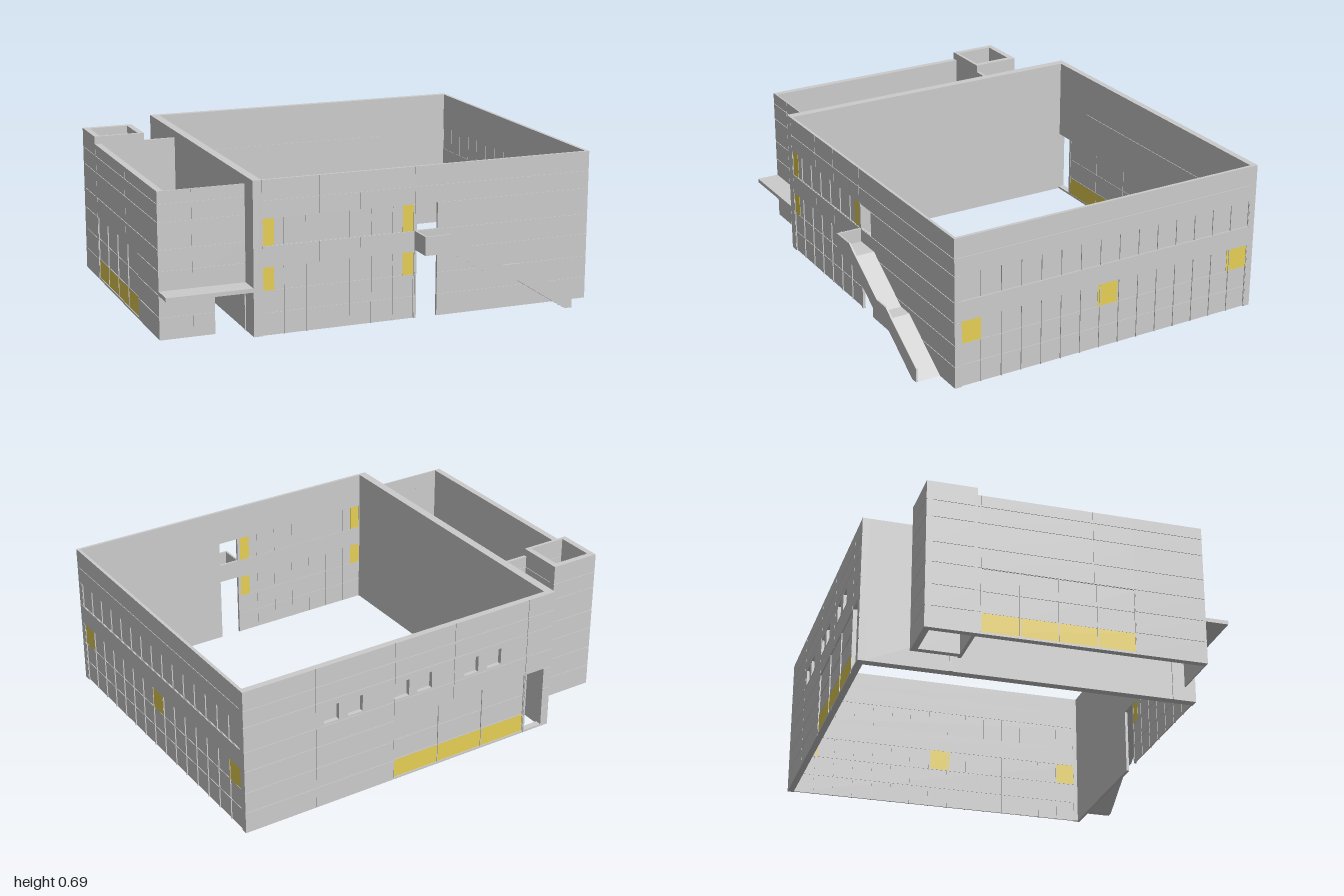
import * as THREE from 'three';
import { mergeGeometries } from 'three/addons/utils/BufferGeometryUtils.js';

const grey = new THREE.MeshStandardMaterial({ color: 0xcccccc });
const yellow = new THREE.MeshStandardMaterial({ color: 0xe6cf55 });
const ROWS = [0.1, 0.2, 0.305, 0.4, 0.52, 0.6];
const GAP = 0.0015, SKIN = 0.003;

// box geometry from its min and max corners
function span(x0, x1, y0, y1, z0, z1) {
  return new THREE.BoxGeometry(x1 - x0, y1 - y0, z1 - z0)
    .translate((x0 + x1) / 2, (y0 + y1) / 2, (z0 + z1) / 2);
}

function add(parent, name, geos, material = grey) {
  const mesh = new THREE.Mesh(Array.isArray(geos) ? mergeGeometries(geos) : geos, material);
  mesh.name = name;
  parent.add(mesh);
  return mesh;
}

// Wall in local space: u runs along x, v up, outer face at z = 0.
// Built on a grid of cells that leaves out the openings [u0, u1, v0, v1];
// thin cladding in front is parted along the joints.
function wall(root, name, { u0, u1, h, t, joints = [], openings = [], turn = 0, at }) {
  const group = new THREE.Group();
  group.name = name;
  const rows = ROWS.filter((v) => v < h - 0.02);
  const sorted = (list) => [...new Set(list)].sort((a, b) => a - b);
  const us = sorted([u0, u1, ...joints, ...openings.flatMap((o) => [o[0], o[1]])]);
  const vs = sorted([0, h, ...rows, ...openings.flatMap((o) => [o[2], o[3]])]);
  const core = [], cladding = [];
  for (let i = 0; i < us.length - 1; i++) {
    for (let j = 0; j < vs.length - 1; j++) {
      const [a, b, c, d] = [us[i], us[i + 1], vs[j], vs[j + 1]];
      const mu = (a + b) / 2, mv = (c + d) / 2;
      if (openings.some((o) => mu > o[0] && mu < o[1] && mv > o[2] && mv < o[3])) continue;
      core.push(span(a, b, c, d, -t, -SKIN));
      const gu = (u) => (joints.includes(u) ? GAP : 0), gv = (v) => (rows.includes(v) ? GAP : 0);
      cladding.push(span(a + gu(a), b - gu(b), c + gv(c), d - gv(d), -SKIN, 0));
    }
  }
  add(group, name + 'Core', core);
  add(group, name + 'Cladding', cladding);
  group.rotation.y = turn;
  group.position.set(...at);
  root.add(group);
  return group;
}

// Recessed panes filling an opening, with mullions and some coloured panes
function glazing(group, name, [u0, u1, v0, v1], { t, cols, bars = [], coloured = [] }) {
  const front = -0.006, back = -t + 0.002;
  add(group, name + 'Panes', span(u0, u1, v0, v1, back, front));
  const frames = [];
  for (let i = 0; i <= cols; i++) {
    const u = Math.min(Math.max(u0 + ((u1 - u0) * i) / cols, u0 + 0.002), u1 - 0.002);
    frames.push(span(u - 0.002, u + 0.002, v0, v1, -t, -0.001));
  }
  for (const v of bars) frames.push(span(u0, u1, v - 0.0015, v + 0.0015, -t, -0.003));
  add(group, name + 'Mullions', frames);
  coloured.forEach(([a, b, c, d]) =>
    add(group, name + 'ColouredPane', span(a, b, c, d, back - 0.001, front + 0.002), yellow));
}

export function createModel() {
  const root = new THREE.Group();
  root.name = 'building';
  const H = 0.69, LOW = 0.655;

  // Front wall with two window bands and two doorways
  const lower = [-0.57, 0.14, 0, 0.305], upper = [-0.57, 0.14, 0.4, 0.52];
  const front = wall(root, 'frontWall', {
    u0: -0.57, u1: 1, h: H, t: 0.013, joints: [-0.57, -0.31, -0.12, 0.14], at: [0, 0, 0.71],
    openings: [lower, upper, [0.15, 0.25, 0, 0.31], [0.15, 0.25, 0.4, 0.52]],
  });
  const ends = (c, d) => [[-0.57, -0.515, c, d], [0.085, 0.14, c, d]];
  glazing(front, 'lowerFrontWindow', lower, { t: 0.013, cols: 7, bars: [0.1, 0.2], coloured: ends(0.2, 0.305) });
  glazing(front, 'upperFrontWindow', upper, { t: 0.013, cols: 7, coloured: ends(0.4, 0.52) });

  // Right wall (u = -z) with a curtain wall and a ribbon window
  const curtain = [-0.68, 0.8, 0, 0.305], ribbon = [-0.68, 0.8, 0.4, 0.52];
  const right = wall(root, 'sideWall', {
    u0: -0.697, u1: 0.8, h: H, t: 0.015, turn: Math.PI / 2, at: [1, 0, 0], openings: [curtain, ribbon],
  });
  glazing(right, 'curtainWall', curtain, {
    t: 0.015, cols: 15, bars: [0.1, 0.2],
    coloured: [[-0.68, -0.58, 0.2, 0.305], [0, 0.1, 0.2, 0.305], [0.69, 0.8, 0.2, 0.305]],
  });
  glazing(right, 'ribbonWindow', ribbon, { t: 0.015, cols: 15 });

  // Back wall (u = -x) with paired small windows, low glazing and a doorway
  const small = [-0.61, -0.49, -0.25, -0.13, 0.12, 0.245].map((u) => [u, u + 0.075, 0.41, 0.49]);
  const shopfront = [-0.25, 0.465, 0.01, 0.305];
  const back = wall(root, 'backWall', {
    u0: -1, u1: 0.61, h: H, t: 0.03, joints: [-0.65, -0.25, 0.065, 0.465], turn: Math.PI, at: [0, 0, -0.83],
    openings: [...small, shopfront, [0.475, 0.57, 0.01, 0.305]],
  });
  glazing(back, 'backGlazing', shopfront, {
    t: 0.03, cols: 3, bars: [0.1, 0.2], coloured: [[-0.25, 0.465, 0.01, 0.1]],
  });
  add(back, 'smallWindowPanes', span(-0.62, 0.325, 0.405, 0.495, -0.033, -0.02));

  // Wall between hall and annex
  add(root, 'partyWall', span(-0.61, -0.57, 0, H, -0.8, 0.71));

  // Annex: low walls, passage doors and canopy
  const passage = [-0.75, -0.615, 0, 0.195];
  wall(root, 'annexFrontWall', {
    u0: -1, u1: -0.61, h: LOW, t: 0.006, joints: [-0.85], at: [0, 0, 0.605], openings: [passage],
  });
  wall(root, 'annexBackWall', {
    u0: 0.61, u1: 1, h: LOW, t: 0.015, turn: Math.PI, at: [0, 0, -0.43],
    openings: [[0.615, 0.75, 0, 0.195]],
  });
  const sideGlass = [-0.4, 0.285, 0.01, 0.305];
  const annex = wall(root, 'annexSideWall', {
    u0: -0.415, u1: 0.6, h: LOW, t: 0.03, joints: [-0.4, 0.1], turn: -Math.PI / 2, at: [-1, 0, 0],
    openings: [sideGlass],
  });
  glazing(annex, 'annexGlazing', sideGlass, {
    t: 0.03, cols: 4, bars: [0.1, 0.2], coloured: [[-0.4, 0.285, 0.01, 0.1]],
  });
  add(root, 'canopy', span(-1, -0.61, 0.2, 0.218, 0.6, 0.71));

  // Tower shaft at the back of the annex
  const tower = { h: H, t: 0.028 };
  wall(root, 'towerBackWall', { ...tower, u0: 0.76, u1: 1, turn: Math.PI, at: [0, 0, -0.64] });
  wall(root, 'towerOuterWall', { ...tower, u0: -0.612, u1: -0.415, turn: -Math.PI / 2, at: [-1, 0, 0] });
  wall(root, 'towerInnerWall', { ...tower, u0: 0.43, u1: 0.612, turn: Math.PI / 2, at: [-0.76, 0, 0] });
  add(root, 'towerFrontWall', span(-0.972, -0.76, LOW, H, -0.43, -0.415));

  // Outside stair: sloping slab, parapet on the outer side and landing end
  const extrude = (pts, z0, z1) => new THREE.ExtrudeGeometry(
    new THREE.Shape(pts.map((p) => new THREE.Vector2(...p))),
    { depth: z1 - z0, bevelEnabled: false }).translate(0, 0, z0);
  const under = [[0.14, 0.315], [0.27, 0.315], [0.52, 0.155], [0.595, 0.155], [0.835, 0]];
  const over = [[0.87, 0], [0.87, 0.065], [0.6, 0.235], [0.52, 0.235], [0.26, 0.4], [0.14, 0.4]];
  const floor = [[0.87, 0], [0.6, 0.175], [0.525, 0.175], [0.275, 0.337], [0.14, 0.337]];
  add(root, 'stairSlab', extrude([...under, ...floor], 0.71, 0.817));
  add(root, 'stairParapet', extrude([...under, ...over], 0.817, 0.825));
  add(root, 'landingEndParapet', span(0.14, 0.15, 0.337, 0.4, 0.71, 0.817));

  return root;
}
